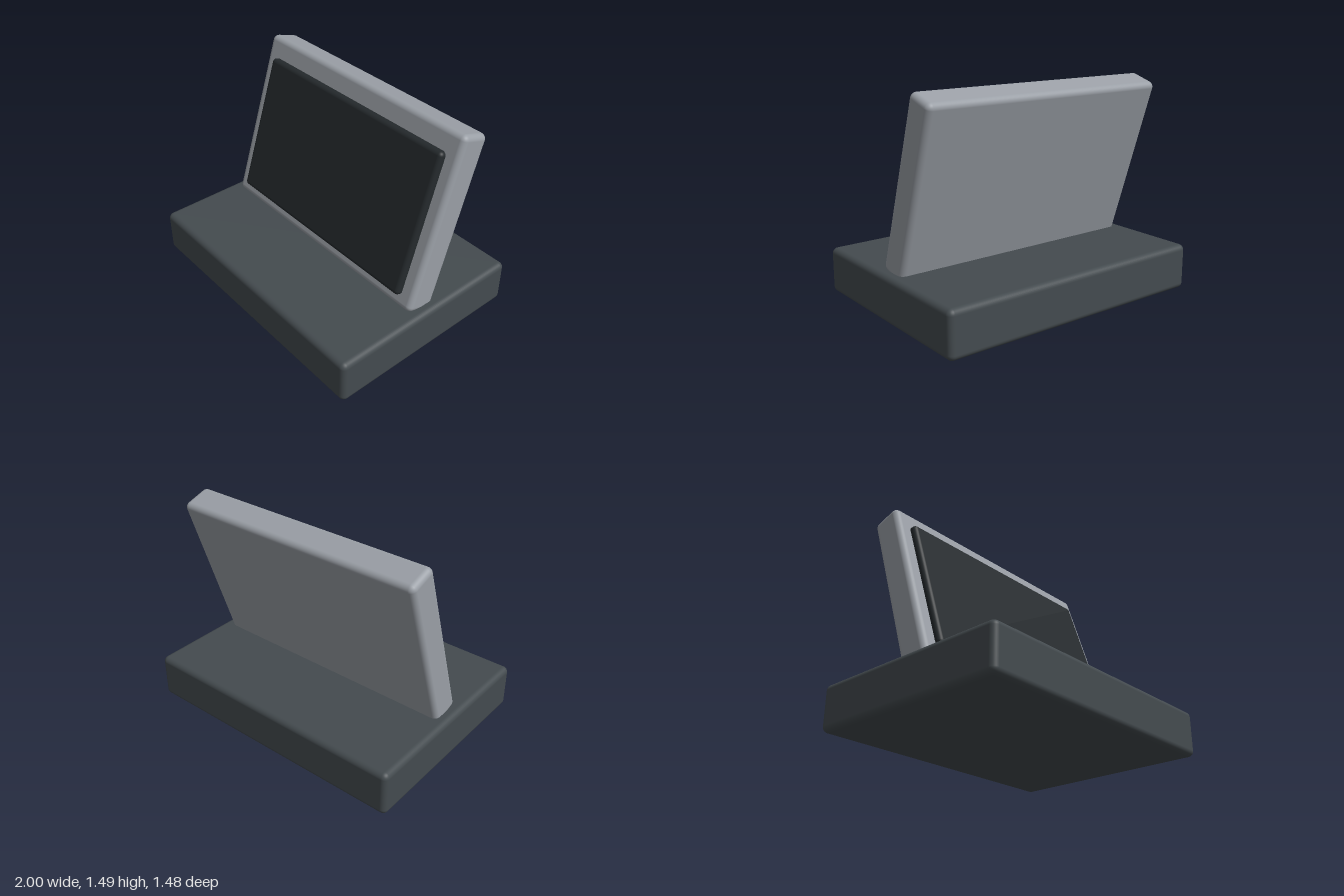
import * as THREE from 'three';
import { RoundedBoxGeometry } from 'three/addons/geometries/RoundedBoxGeometry.js';

const TILT = Math.PI / 10; // housing leans back 18 degrees

function roundedBox(name, [w, h, d], radius, color) {
  const mesh = new THREE.Mesh(
    new RoundedBoxGeometry(w, h, d, 4, radius),
    new THREE.MeshStandardMaterial({ color })
  );
  mesh.name = name;
  return mesh;
}

export function createModel() {
  const model = new THREE.Group();
  model.name = 'tiltedDisplay';

  // Heavy flat base
  const base = roundedBox('base', [2, 0.32, 1.48], 0.04, 0x444b4f);
  base.position.y = 0.16;
  model.add(base);

  // Leaning display: local y runs up the housing, local z out of its face
  const display = new THREE.Group();
  display.name = 'display';
  display.rotation.x = -TILT;
  model.add(display);

  const housing = roundedBox('housing', [1.86, 1.24, 0.22], 0.04, 0x9a9fa6);
  housing.position.set(0, 0.886, 0.113);
  display.add(housing);

  // Dark screen slab, partly sunk into the housing
  const screen = roundedBox('screen', [1.66, 1.01, 0.08], 0.03, 0x24292c);
  screen.position.set(0, 0.855, 0.227);
  display.add(screen);

  return model;
}
